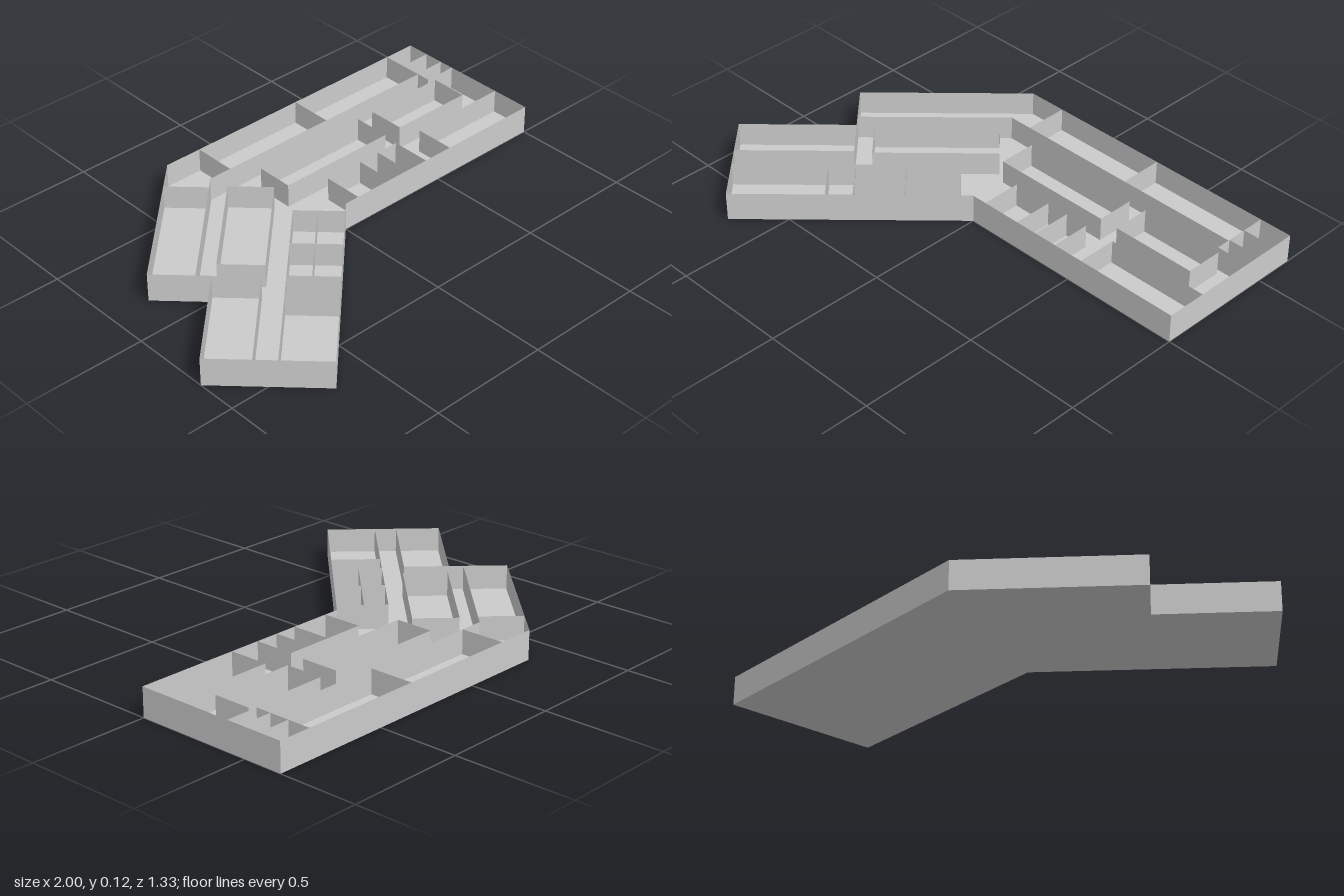
import * as THREE from 'three';

const FLOOR = 0.02, TOP = 0.12, S = Math.SQRT1_2;
const material = new THREE.MeshStandardMaterial({ color: 0xcccccc, flatShading: true, side: THREE.DoubleSide });

// Plan coordinates [x, z]; the angled wing uses u (along its front) and v (towards its back)
const wing = (points) => points.map(([u, v]) => [-(u + v) * S, (u - v) * S]);

// Thin upright walls following a path on the plan
function addWalls(parent, name, points, closed = false) {
  const room = new THREE.Group();
  room.name = name;
  const path = closed ? [...points, points[0]] : points;
  for (let i = 0; i + 1 < path.length; i++) {
    const [x0, z0] = path[i], [x1, z1] = path[i + 1];
    const wall = new THREE.Mesh(new THREE.PlaneGeometry(Math.hypot(x1 - x0, z1 - z0), TOP - FLOOR), material);
    wall.name = name + 'Panel';
    wall.position.set((x0 + x1) / 2, (TOP + FLOOR) / 2, (z0 + z1) / 2);
    wall.rotation.y = -Math.atan2(z1 - z0, x1 - x0);
    room.add(wall);
  }
  parent.add(room);
}

const rectangle = (a0, a1, b0, b1) => [[a0, b0], [a1, b0], [a1, b1], [a0, b1]];

export function createModel() {
  const model = new THREE.Group();
  model.name = 'floorPlan';

  // Floor slab and outer walls
  const outline = [[0, 0], [1, 0], [1, -0.667], [-0.333, -0.667], [-0.833, -0.167],
    [-0.667, 0], [-1, 0.333], [-0.667, 0.667]];
  const shape = new THREE.Shape(outline.map(([x, z]) => new THREE.Vector2(x, -z)));
  const slab = new THREE.ExtrudeGeometry(shape, { depth: FLOOR, bevelEnabled: false });
  slab.rotateX(-Math.PI / 2);
  const floor = new THREE.Mesh(slab, material);
  floor.name = 'floorSlab';
  model.add(floor);
  addWalls(model, 'outerWall', outline, true);

  // Straight wing: back rooms, the corridor wall turns the bend
  addWalls(model, 'backCorridorWall', [[1, -0.42], [0.86, -0.42], [0.86, -0.48], [-0.27, -0.48], ...wing([[0.471, 0.53]])]);
  for (const x of [-0.17, 0.34, 0.86]) addWalls(model, 'backPartition', [[x, -0.667], [x, -0.48]]);
  for (const z of [-0.57, -0.485]) addWalls(model, 'washroomPartition', [[0.86, z], [1, z]]);

  // Straight wing: middle rooms
  addWalls(model, 'middleRoom', rectangle(-0.08, 0.44, -0.24, -0.4), true);
  addWalls(model, 'middleRoom', rectangle(0.52, 0.88, -0.24, -0.4), true);

  // Straight wing: lifts, stairs and front room
  addWalls(model, 'liftWalls', [[0.065, 0], [0.065, -0.17], [0.43, -0.17], [0.43, 0]]);
  for (const x of [0.234, 0.33]) addWalls(model, 'liftPartition', [[x, 0], [x, -0.17]]);
  addWalls(model, 'frontRoom', [[0.5625, 0], [0.5625, -0.17], [1, -0.17]]);

  // Angled wing: back, middle and end rooms
  addWalls(model, 'wingBackPartition', wing([[-0.09, 0.707], [-0.09, 0.53]]));
  addWalls(model, 'wingBackEndWall', wing([[0.471, 0.471], [0.471, 0.53]]));
  addWalls(model, 'wingMiddleRoom', wing(rectangle(-0.1, 0.4, 0.28, 0.46)), true);
  addWalls(model, 'wingEndRoom', wing([[0.471, 0.471], [0.471, 0.29], [0.943, 0.29]]));

  // Angled wing: washrooms, stairs and front room
  addWalls(model, 'wingFrontRow', wing([[0.05, 0], [0.05, 0.2], [0.943, 0.2]]));
  for (const u of [0.262, 0.46, 0.566]) addWalls(model, 'wingFrontPartition', wing([[u, 0], [u, 0.2]]));
  addWalls(model, 'wingWashroomPartition', wing([[0.05, 0.106], [0.46, 0.106]]));

  return model;
}
